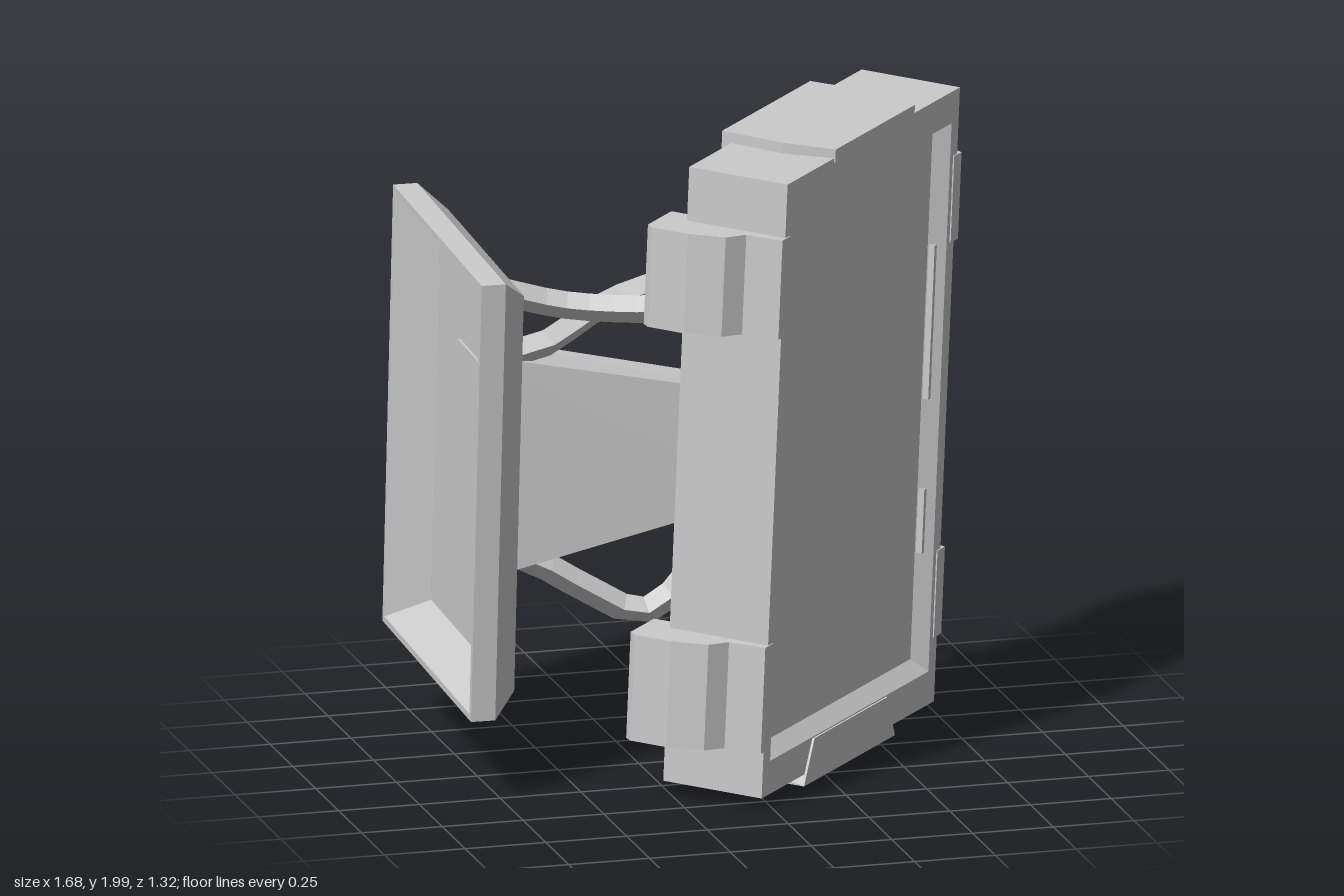
import * as THREE from 'three';

const grey = new THREE.MeshStandardMaterial({ color: 0xcccccc, flatShading: true, side: THREE.DoubleSide });

function add(parent, name, geometry) {
  const mesh = new THREE.Mesh(geometry, grey);
  mesh.name = name;
  parent.add(mesh);
  return mesh;
}

// Skin a list of four-cornered sections and close both ends
function loft(sections) {
  const pos = [];
  const quad = (a, b, c, d) => pos.push(...a, ...b, ...c, ...a, ...c, ...d);
  for (let i = 0; i < sections.length - 1; i++) {
    const a = sections[i], b = sections[i + 1];
    for (let k = 0; k < 4; k++) {
      const m = (k + 1) % 4;
      quad(a[k], a[m], b[m], b[k]);
    }
  }
  const s = sections[0], e = sections[sections.length - 1];
  quad(s[3], s[2], s[1], s[0]);
  quad(e[0], e[1], e[2], e[3]);
  const g = new THREE.BufferGeometry();
  g.setAttribute('position', new THREE.Float32BufferAttribute(pos, 3));
  g.computeVertexNormals();
  return g;
}

// Section at depth z: half widths at the bottom and top, and the y range
const section = (z, bottom, top, y0, y1) =>
  [[-bottom, y0, z], [bottom, y0, z], [top, y1, z], [-top, y1, z]];

// Plan outline [x, z] raised from y0 to y1
function plan(points, y0, y1) {
  const shape = new THREE.Shape(points.map(([x, z]) => new THREE.Vector2(x, -z)));
  return new THREE.ExtrudeGeometry(shape, { depth: y1 - y0, bevelEnabled: false })
    .rotateX(-Math.PI / 2).translate(0, y0, 0);
}

function createScreen() {
  const screen = new THREE.Group();
  screen.name = 'screen';

  // Housing with the recessed display panel
  add(screen, 'housing', loft([
    section(-0.163, 0.588, 0.588, -0.957, 0.957),
    section(0.163, 0.588, 0.588, -0.957, 0.957),
    section(0.163, 0.54, 0.54, -0.852, 0.857),
    section(0.118, 0.505, 0.505, -0.812, 0.856),
  ]));

  // Caps in the middle of the top and bottom edges
  add(screen, 'topCap', loft([
    section(-0.195, 0.3, 0.3, 0.9, 0.99),
    section(0.01, 0.31, 0.31, 0.9, 0.99),
    section(0.167, 0.27, 0.27, 0.945, 0.985),
  ]));
  add(screen, 'bottomCap', loft([
    section(-0.195, 0.315, 0.315, -0.99, -0.91),
    section(0.17, 0.31, 0.25, -0.99, -0.855),
  ]));

  // Slim corner clips on the left edge, bulky ones on the right edge
  const slim = [[0.5, 0.1], [0.5, -0.203], [0.61, -0.203], [0.627, -0.18], [0.627, 0.12], [0.61, 0.167], [0.56, 0.167], [0.56, 0.1]];
  const bulky = [[-0.56, 0.167], [-0.615, 0.167], [-0.622, 0.05], [-0.68, 0.01], [-0.71, -0.1], [-0.71, -0.22],
    [-0.69, -0.243], [-0.53, -0.243], [-0.53, 0]];
  for (const [y0, y1] of [[0.48, 0.75], [-0.75, -0.48]]) {
    add(screen, 'leftClip', plan(slim, y0, y1));
  }
  for (const [y0, y1] of [[0.48, 0.79], [-0.81, -0.48]]) {
    add(screen, 'rightClip', plan(bulky, y0, y1));
  }

  // Raised strips and the connector block on the left edge
  for (const [y0, y1, depth, out] of [[0, 0.48, 0.29, 0.607], [-0.27, -0.01, 0.22, 0.596], [-0.48, -0.28, 0.29, 0.607]]) {
    const strip = add(screen, 'edgeStrip', new THREE.BoxGeometry(0.1, y1 - y0, depth));
    strip.position.set(out - 0.05, (y0 + y1) / 2, -0.005);
  }

  screen.rotation.set(0.045, 0.843, 0, 'YXZ');
  screen.position.set(0.268, 1, 0.06);
  return screen;
}

function createWallPlate() {
  const plate = new THREE.Group();
  plate.name = 'wallPlate';
  const rect = (z, hx, hy) => section(z, hx, hx, -hy, hy);

  // Bevelled dish, hollow towards the wall
  add(plate, 'plateShell', loft([
    rect(0.05, 0.4, 0.6), rect(-0.075, 0.465, 0.665), rect(-0.075, 0.485, 0.685),
    rect(0, 0.485, 0.685), rect(0.077, 0.415, 0.62),
  ]).rotateY(Math.PI / 2));

  // Rounded cover panel inside the dish
  const w = 0.14, h = 0.33, r = 0.04;
  const s = new THREE.Shape();
  s.absarc(w - r, h - r, r, 0, Math.PI / 2);
  s.absarc(r - w, h - r, r, Math.PI / 2, Math.PI);
  s.absarc(r - w, r - h, r, Math.PI, Math.PI * 1.5);
  s.absarc(w - r, r - h, r, Math.PI * 1.5, Math.PI * 2);
  add(plate, 'coverPanel', new THREE.ExtrudeGeometry(s, { depth: 0.01, bevelEnabled: false, curveSegments: 2 })
    .rotateY(Math.PI / 2).translate(0.042, -0.03, -0.05));

  plate.rotation.set(0.05, 0, -0.01);
  plate.position.set(-0.774, 0.97, -0.145);
  return plate;
}

export function createModel() {
  const model = new THREE.Group();
  model.name = 'wallMountedScreen';
  model.add(createScreen(), createWallPlate());

  // Tapered support arm
  add(model, 'supportArm', loft([
    [[-0.71, 0.6, -0.04], [-0.71, 0.6, -0.36], [-0.71, 1.28, -0.32], [-0.71, 1.28, -0.07]],
    [[0.17, 0.79, -0.05], [0.3, 0.81, -0.24], [0.3, 1.07, -0.21], [0.18, 1.09, -0.07]],
  ]));

  // Square-section cables
  const cables = {
    backUpperCable: [[-0.7, 1.27, -0.1], [-0.53, 1.29, -0.1], [-0.3, 1.37, -0.21], [-0.1, 1.41, -0.25], [0.05, 1.41, -0.2], [0.16, 1.38, -0.05]],
    frontUpperCable: [[-0.7, 1.52, 0.07], [-0.5, 1.46, 0.06], [-0.3, 1.45, 0.13], [-0.12, 1.46, 0.2], [-0.02, 1.43, 0.21]],
    lowerCable: [[-0.7, 0.61, -0.31], [-0.52, 0.58, -0.31], [-0.3, 0.45, -0.32], [-0.15, 0.38, -0.32], [-0.03, 0.47, -0.29], [0.02, 0.59, -0.27]],
  };
  for (const [name, points] of Object.entries(cables)) {
    const path = new THREE.CatmullRomCurve3(points.map((p) => new THREE.Vector3(...p)));
    add(model, name, new THREE.TubeGeometry(path, 10, 0.042, 4));
  }
  return model;
}
